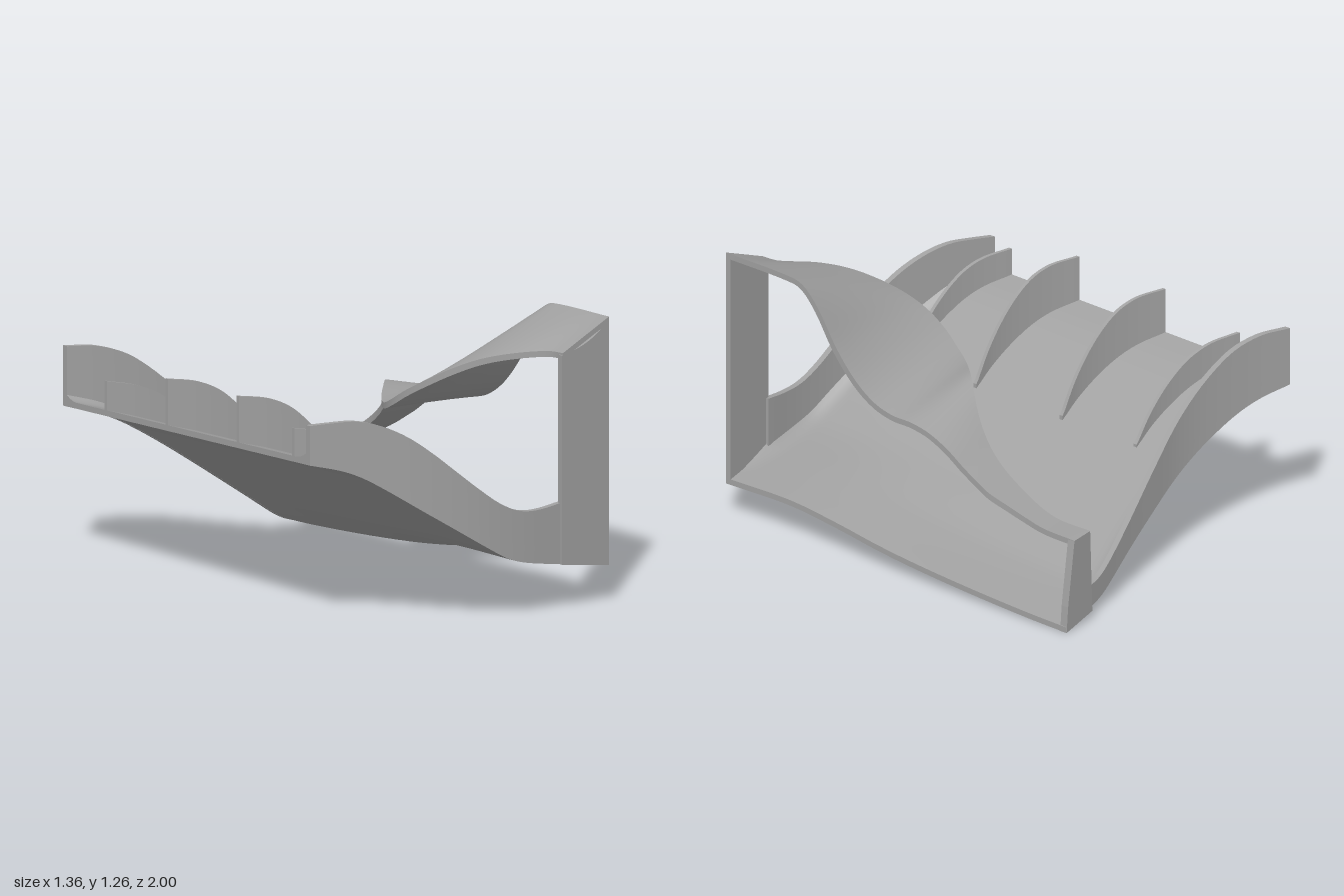
import * as THREE from 'three';
import { toCreasedNormals } from 'three/addons/utils/BufferGeometryUtils.js';

const lerp = THREE.MathUtils.lerp;

// smooth function through [x, y] points sorted by x
function curve(pts) {
  const slope = (i) => {
    const a = pts[Math.max(i - 1, 0)], b = pts[Math.min(i + 1, pts.length - 1)];
    return (b[1] - a[1]) / (b[0] - a[0]);
  };
  return (x) => {
    let i = 0;
    while (i < pts.length - 2 && x > pts[i + 1][0]) i++;
    const [x0, y0] = pts[i], [x1, y1] = pts[i + 1], w = x1 - x0;
    const t = THREE.MathUtils.clamp((x - x0) / w, 0, 1), s = t * t * (3 - 2 * t);
    return lerp(y0, y1, s) + w * t * (1 - t) * ((1 - t) * slope(i) - t * slope(i + 1));
  };
}

// closed slab between two surfaces a (outer) and b (inner) over u, v in 0..1
function slab(nu, nv, a, b) {
  const pos = [];
  const grid = (f) => Array.from({ length: nu + 1 }, (_, i) =>
    Array.from({ length: nv + 1 }, (_, j) => f(i / nu, j / nv)));
  const A = grid(a), B = grid(b);
  const quad = (p, q, r, s) => pos.push(...p, ...q, ...r, ...p, ...r, ...s);
  for (let i = 0; i < nu; i++) for (let j = 0; j < nv; j++) {
    quad(A[i][j], A[i][j + 1], A[i + 1][j + 1], A[i + 1][j]);
    quad(B[i][j], B[i + 1][j], B[i + 1][j + 1], B[i][j + 1]);
  }
  for (let i = 0; i < nu; i++) {
    quad(A[i][0], A[i + 1][0], B[i + 1][0], B[i][0]);
    quad(A[i + 1][nv], A[i][nv], B[i][nv], B[i + 1][nv]);
  }
  for (let j = 0; j < nv; j++) {
    quad(A[0][j + 1], A[0][j], B[0][j], B[0][j + 1]);
    quad(A[nu][j], A[nu][j + 1], B[nu][j + 1], B[nu][j]);
  }
  const g = new THREE.BufferGeometry();
  g.setAttribute('position', new THREE.Float32BufferAttribute(pos, 3));
  return toCreasedNormals(g, 0.6);
}

// upright wall following z(x), from bottom(x) to top(x)
function wall(x0, x1, z, bottom, top, thick) {
  const face = (dz) => (u, v) => {
    const x = lerp(x0, x1, u);
    return [x, lerp(top(x), bottom(x), v), z(x) + dz];
  };
  return slab(40, 4, face(thick / 2), face(-thick / 2));
}

// plan outline and underside heights of the floor
const frontZ = curve([[-0.68, 0.62], [-0.4, 0.77], [-0.2, 0.87], [0, 0.94], [0.2, 0.975], [0.42, 0.987], [0.68, 1]]);
const backZ = curve([[-0.68, -1], [-0.5, -0.91], [-0.3, -0.835], [-0.15, -0.803], [0, -0.797], [0.2, -0.8], [0.5, -0.82], [0.68, -0.835]]);
const frontY = curve([[-0.68, 0.765], [-0.55, 0.73], [-0.45, 0.68], [-0.2, 0.505], [0.1, 0.305], [0.2, 0.26], [0.42, 0.215], [0.68, 0.17]]);
const backY = curve([[-0.68, 0.71], [-0.55, 0.67], [-0.42, 0.605], [-0.1, 0.39], [0.2, 0.19], [0.35, 0.092], [0.42, 0.06], [0.68, 0.003]]);
const sweep = curve([[0, 0], [0.12, 0.06], [0.29, 0.2], [0.45, 0.38], [0.56, 0.55], [0.67, 0.77], [0.81, 0.98], [1, 1]]);
const THICK = 0.026;

function floorY(x, z) {
  const t = (z - backZ(x)) / (frontZ(x) - backZ(x));
  return lerp(backY(x), frontY(x), lerp(t, sweep(t), THREE.MathUtils.smoothstep(x, -0.3, 0.5)));
}

export function createModel() {
  const group = new THREE.Group();
  const grey = new THREE.MeshStandardMaterial({ color: 0xa0a0a0 });
  grey.name = 'plain grey';
  const add = (name, geometry) => {
    const mesh = new THREE.Mesh(geometry, grey);
    mesh.name = name;
    group.add(mesh);
  };

  // swept floor, filleted up towards its long edges
  const floor = (top) => (u, v) => {
    const x = lerp(-0.68, 0.68, u);
    const z = lerp(backZ(x), frontZ(x), 0.5 - 0.5 * Math.cos(Math.PI * v));
    const edge = Math.min(z - backZ(x), frontZ(x) - z);
    const fillet = x < 0.6 ? 0.05 * Math.max(0, 1 - edge / 0.09) ** 2 * Math.min(1, (0.6 - x) / 0.2) : 0;
    return [x, floorY(x, z) + (top ? THICK + fillet : 0), z];
  };
  add('floor', slab(48, 48, floor(true), floor(false)));

  // fences along both long edges
  const frontTop = curve([[-0.68, 0.94], [-0.6, 0.946], [-0.5, 0.948], [-0.4, 0.92], [-0.3, 0.865], [-0.2, 0.785], [-0.1, 0.695],
    [0, 0.608], [0.1, 0.532], [0.2, 0.485], [0.3, 0.475], [0.43, 0.487]]);
  add('frontFence', wall(-0.68, 0.43, (x) => frontZ(x) - 0.013, frontY, frontTop, 0.026));
  const backHeight = curve([[-0.68, 0.267], [-0.55, 0.298], [-0.4, 0.31], [-0.2, 0.27], [0, 0.2], [0.2, 0.13], [0.4, 0.1], [0.55, 0.11]]);
  add('backFence', wall(-0.68, 0.55, (x) => backZ(x) + 0.013, backY, (x) => backY(x) + backHeight(x), 0.026));

  // four curved fins at the raised end
  const finRise = curve([[-0.68, 0.205], [-0.55, 0.22], [-0.45, 0.21], [-0.35, 0.165], [-0.25, 0.09], [-0.18, 0.02]]);
  const finBend = curve([[-0.68, 0], [-0.55, 0.07], [-0.4, 0.13], [-0.28, 0.16], [-0.18, 0.168]]);
  [[-0.72, 0.63], [-0.32, 1], [0.145, 1], [0.51, 0.6]].forEach(([z0, size], i) => {
    const z = (x) => z0 + finBend(x);
    const base = (x) => floorY(x, z(x)) + 0.01;
    add('fin' + (i + 1), wall(-0.68, -0.175, z, base, (x) => base(x) + 0.016 + finRise(x) * size, 0.016));
  });

  // tall plate at the front corner
  const plate = new THREE.Shape();
  plate.moveTo(0.415, 0.215);
  plate.lineTo(0.68, 0.17);
  plate.lineTo(0.68, 1.265);
  plate.quadraticCurveTo(0.6, 1.165, 0.415, 1.14);
  const plateGeo = new THREE.ExtrudeGeometry(plate, { depth: 0.026, bevelEnabled: false });
  add('endPlate', plateGeo.translate(0, 0, 0.974));

  // short tapered post at the back corner
  const post = new THREE.Shape();
  post.moveTo(0.5, 0.04);
  post.lineTo(0.68, 0.003);
  post.lineTo(0.67, 0.12);
  post.lineTo(0.625, 0.42);
  post.lineTo(0.515, 0.42);
  const postGeo = new THREE.ExtrudeGeometry(post, { depth: 0.035, bevelEnabled: false });
  add('post', postGeo.translate(0, 0, -0.84));

  // twisting upper wing between plate and post
  const innerX = curve([[-0.84, 0.515], [-0.4, 0.513], [-0.3, 0.495], [-0.2, 0.45], [-0.1, 0.37], [0, 0.27], [0.1, 0.17], [0.2, 0.095],
    [0.3, 0.05], [0.4, 0.043], [0.5, 0.07], [0.6, 0.13], [0.7, 0.205], [0.8, 0.29], [0.92, 0.405], [1, 0.42]]);
  const outerX = curve([[-0.84, 0.625], [-0.6, 0.63], [-0.5, 0.65], [-0.39, 0.68], [1, 0.68]]);
  const innerY = curve([[-0.84, 0.425], [-0.65, 0.435], [-0.5, 0.5], [-0.3, 0.635], [-0.2, 0.725], [-0.1, 0.815], [-0.03, 0.848],
    [0.1, 0.828], [0.2, 0.83], [0.3, 0.87], [0.4, 0.93], [0.5, 0.99], [0.6, 1.05], [0.7, 1.1], [0.8, 1.13], [0.9, 1.145], [1, 1.15]]);
  const outerY = curve([[-0.84, 0.42], [-0.65, 0.435], [-0.5, 0.495], [-0.3, 0.615], [-0.2, 0.685], [-0.1, 0.735], [0, 0.757], [0.1, 0.762],
    [0.2, 0.795], [0.3, 0.87], [0.4, 0.99], [0.5, 1.15], [0.58, 1.235], [0.66, 1.257], [1, 1.268]]);
  const wing = (thick) => (u, v) => {
    const z = lerp(-0.84, 1, v), y = (s) => lerp(innerY(s), outerY(s), u);
    const slope = (y(z + 0.01) - y(z - 0.01)) / 0.02;
    return [lerp(innerX(z), outerX(z), u), y(z) - thick * Math.hypot(1, slope), z];
  };
  add('upperWing', slab(12, 80, wing(0), wing(0.026)));

  return group;
}
